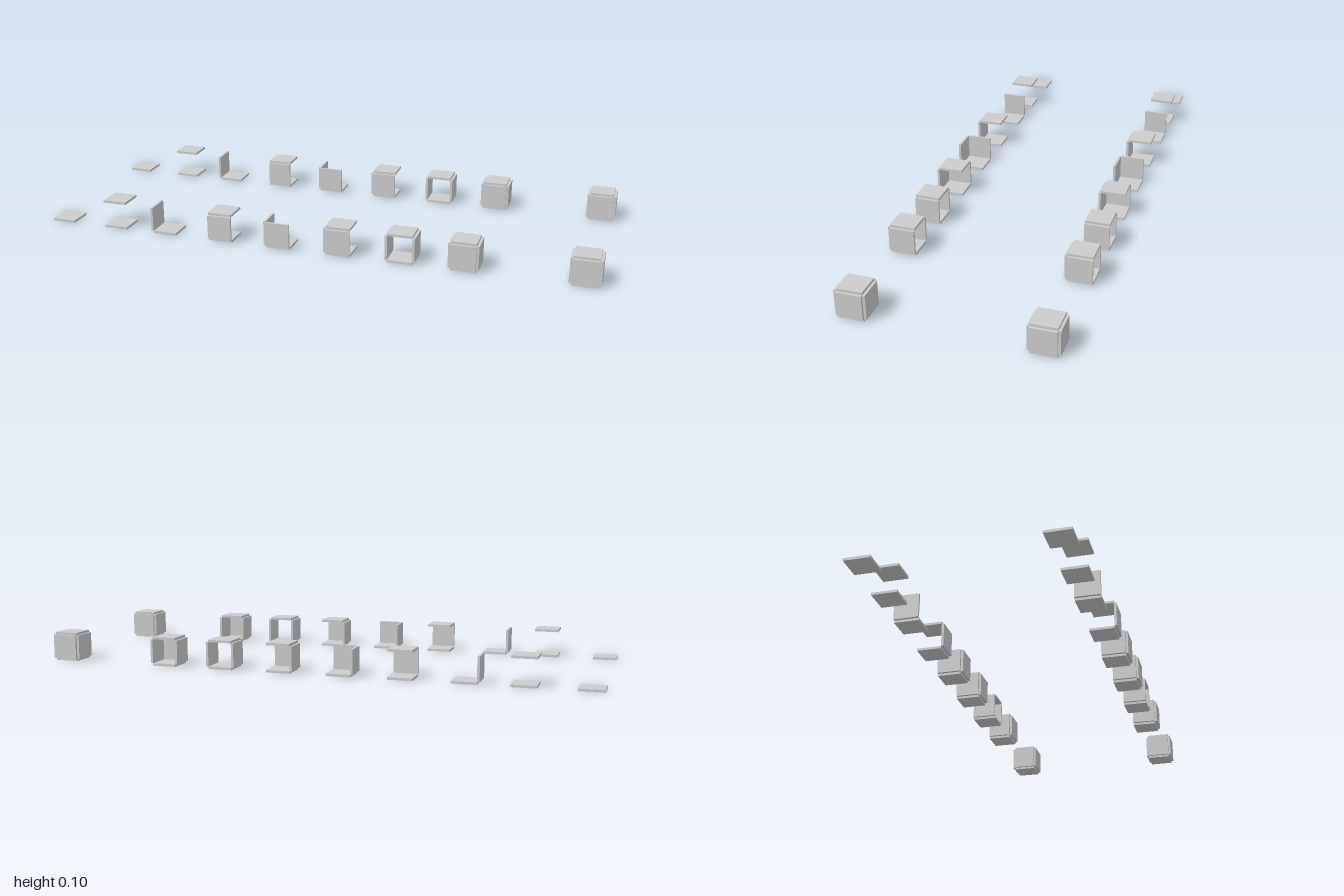
import * as THREE from 'three';

const S = 0.0873;         // panel side
const T = 0.0087;         // panel thickness
const OFF = (S + T) / 2;  // panel centre from the cell centre
const MID = S / 2 + T;    // height of the cell centre
const ROW_Z = 0.3075;     // distance of each row from the middle

// size and offset of every possible panel of a cell
const PANELS = {
  floor: { size: [S, T, S], at: [0, -OFF, 0] },
  ceiling: { size: [S, T, S], at: [0, OFF, 0] },
  rightWall: { size: [T, S, S], at: [-OFF, 0, 0] },
  leftWall: { size: [T, S, S], at: [OFF, 0, 0] },
  frontWall: { size: [S, S, T], at: [0, 0, OFF] },
  backWall: { size: [S, S, T], at: [0, 0, -OFF] },
};

// each cell type: position along the row and the panels it has
const CELLS = [
  ['slab', -0.956, ['floor']],
  ['slabPair', -0.739, ['floor', 'ceiling']],
  ['oneWallCell', -0.543, ['floor', 'rightWall']],
  ['channelCell', -0.325, ['floor', 'ceiling', 'frontWall']],
  ['cornerCell', -0.107, ['floor', 'rightWall', 'frontWall']],
  ['roofedCornerCell', 0.112, ['floor', 'ceiling', 'rightWall', 'frontWall']],
  ['tunnelCell', 0.331, ['floor', 'ceiling', 'rightWall', 'leftWall']],
  ['deadEndCell', 0.549, ['floor', 'ceiling', 'rightWall', 'leftWall', 'frontWall']],
  ['closedCell', 0.9475, Object.keys(PANELS)],
];

export function createModel() {
  const model = new THREE.Group();
  model.name = 'roomCells';
  const material = new THREE.MeshStandardMaterial({ color: 0xcccccc, flatShading: true });

  // two identical rows of cells
  for (const [rowName, z] of [['frontRow', ROW_Z], ['backRow', -ROW_Z]]) {
    const row = new THREE.Group();
    row.name = rowName;
    row.position.z = z;
    for (const [cellName, x, panels] of CELLS) {
      const cell = new THREE.Group();
      cell.name = cellName;
      cell.position.set(x, MID, 0);
      for (const name of panels) {
        const { size, at } = PANELS[name];
        const mesh = new THREE.Mesh(new THREE.BoxGeometry(...size), material);
        mesh.name = name;
        mesh.position.set(...at);
        cell.add(mesh);
      }
      row.add(cell);
    }
    model.add(row);
  }
  return model;
}
